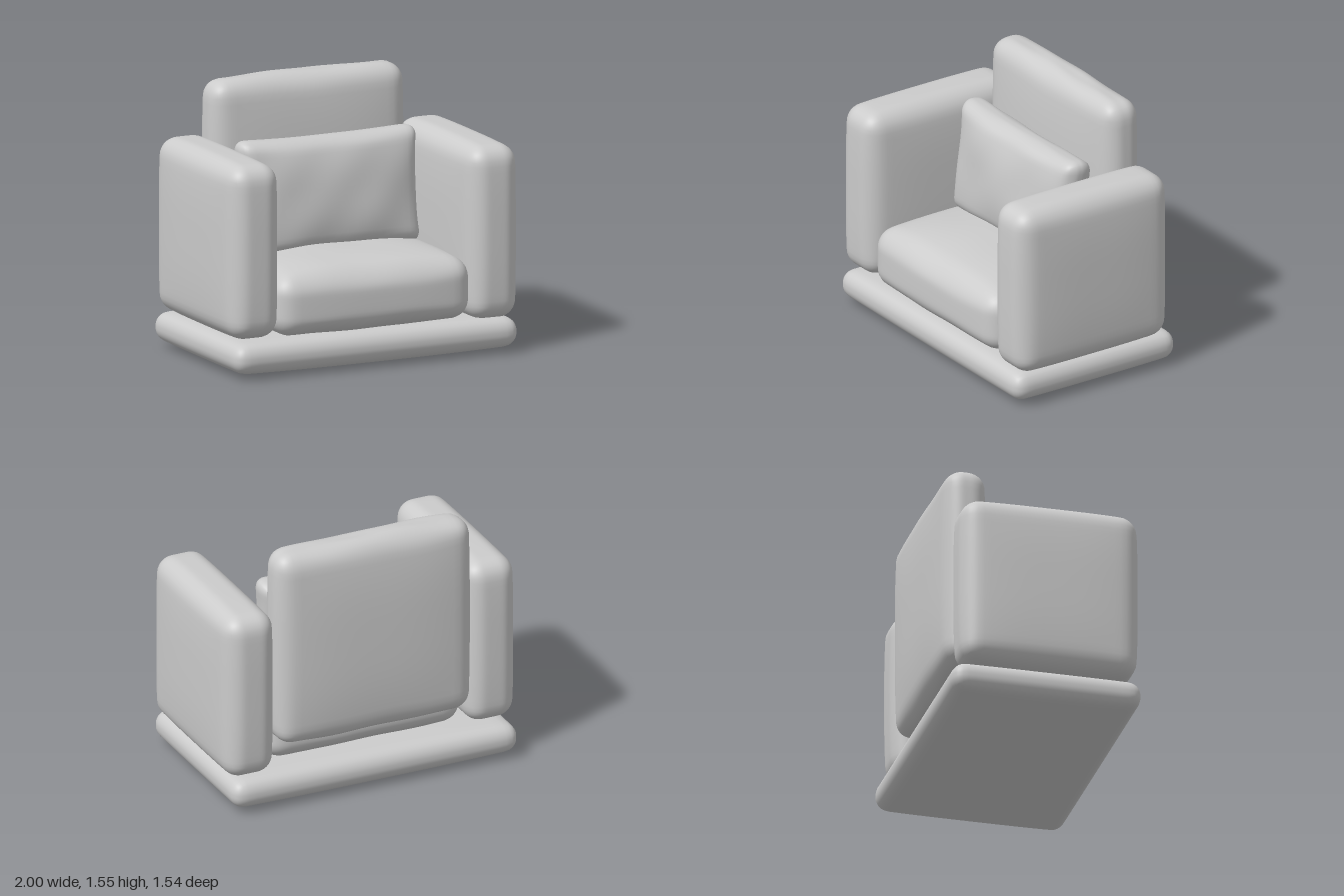
import * as THREE from 'three';
import { mergeVertices } from 'three/addons/utils/BufferGeometryUtils.js';

const material = new THREE.MeshStandardMaterial({ color: 0xcccccc, roughness: 0.8 });

// Soft padded block. bulge = [sides, top, front/back, bottom]; negative values
// pinch the middle of an edge inwards. wrinkle = [axis, amplitude].
function cushion(name, [w, h, d], [x, y, z], r, bulge, wrinkle = ['y', 0]) {
  const geo = new THREE.BoxGeometry(2, 2, 2, 28, 28, 28);
  geo.deleteAttribute('uv');
  geo.deleteAttribute('normal');
  const [bx, bt, bz, bb] = bulge;
  const plump = (b) => Math.max(b, 0);
  const half = new THREE.Vector3(
    w / 2 - plump(bx), (h - plump(bt) - plump(bb)) / 2, d / 2 - plump(bz));
  const core = half.clone().subScalar(r);
  const shiftY = (plump(bb) - plump(bt)) / 2;
  const pos = geo.attributes.position;
  const p = new THREE.Vector3(), inner = new THREE.Vector3();
  const ease = (t) => Math.sin(t * Math.PI / 2); // crowds rows at the rounded edges
  const swell = (t) => 1 - Math.abs(t) ** 3;
  for (let i = 0; i < pos.count; i++) {
    p.fromBufferAttribute(pos, i);
    p.set(ease(p.x), ease(p.y), ease(p.z)).multiply(half);
    // round the edges
    inner.copy(p).clamp(core.clone().negate(), core);
    p.sub(inner).normalize().multiplyScalar(r).add(inner);
    // swell or pinch the faces
    const a = p.x / half.x, b = p.y / half.y, c = p.z / half.z;
    const fa = swell(a), fb = swell(b), fc = swell(c);
    p.x += bx * a * fb * (bx < 0 ? 1 : fc);
    p.y += (b > 0 ? bt : bb) * b * fa * (bt < 0 ? 1 : fc);
    p.z += bz * c * fa * fb;
    // gentle creases in the cloth
    p[wrinkle[0]] += wrinkle[1] *
      (Math.sin(a * 5 + b * 3 + c * 2) + 0.6 * Math.sin(a * 9 - b * 4 - c * 5 + 1));
    pos.setXYZ(i, p.x, p.y + shiftY, p.z);
  }
  const smooth = mergeVertices(geo, 1e-5);
  smooth.computeVertexNormals();
  const mesh = new THREE.Mesh(smooth, material);
  mesh.name = name;
  mesh.position.set(x, y, z);
  return mesh;
}

export function createModel() {
  const model = new THREE.Group();
  model.name = 'armchair';
  const chair = new THREE.Group();
  chair.name = 'turnedChair';
  chair.rotation.y = 0.296;
  model.add(chair);

  // Flat plinth with a bellied underside
  chair.add(cushion('base', [1.79, 0.225, 1.11], [0, 0.1125, 0], 0.08, [0, 0.02, 0, 0.035]));

  // Pair of upright arms, the right one sitting slightly higher
  for (const [name, side, y] of [['leftArm', 1, 0.698], ['rightArm', -1, 0.73]]) {
    chair.add(cushion(name, [0.35, 1.02, 1.05], [side * 0.754, y, 0.017], 0.1,
      [0.025, 0.012, 0.015, 0.012]));
  }

  // Seat with a crowned top
  chair.add(cushion('seat', [1.26, 0.42, 0.97], [0, 0.415, 0.06], 0.11,
    [0.02, 0.06, 0.025, 0.01], ['y', 0.002]));

  // Tall back cushion
  chair.add(cushion('back', [1.235, 1.21, 0.3], [-0.012, 0.945, -0.4], 0.095,
    [0.012, 0.012, 0.035, 0.015], ['y', 0.003]));

  // Loose pillow leaning against the back
  const pillow = cushion('pillow', [1.14, 0.68, 0.28], [-0.008, 0.9, -0.1], 0.075,
    [-0.025, -0.015, 0.055, -0.015], ['z', 0.004]);
  pillow.rotation.x = -0.09;
  chair.add(pillow);

  return model;
}
